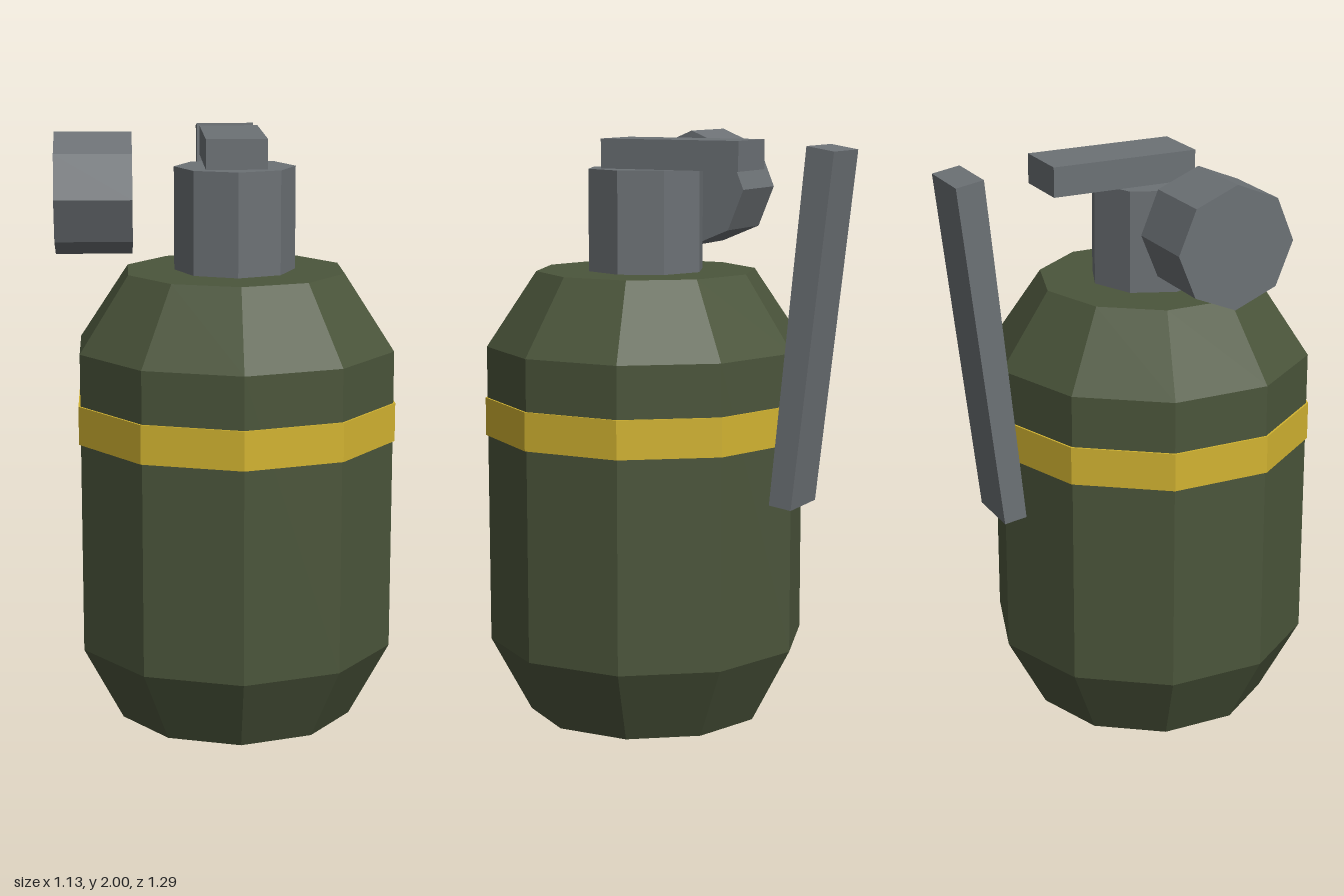
import * as THREE from 'three';

export function createModel() {
  const material = (name, color) => {
    const m = new THREE.MeshStandardMaterial({ color, flatShading: true });
    m.name = name;
    return m;
  };
  const olive = material('olive', 0x4b553b);
  const yellow = material('yellow', 0xd2b331);
  const metal = material('metal', 0x6c7175);

  const group = new THREE.Group();
  const cx = 0.033, cz = 0.092; // axis of the body

  const add = (name, geometry, mat, x, y, z) => {
    const mesh = new THREE.Mesh(geometry, mat);
    mesh.name = name;
    mesh.position.set(x, y, z);
    group.add(mesh);
    return mesh;
  };

  // Ten-sided body, closed at both ends by profile points on the axis
  const profile = [[0, 0], [0.41, 0], [0.548, 0.26], [0.548, 1.285], [0.377, 1.54], [0, 1.54]]
    .map(([r, y]) => new THREE.Vector2(r, y));
  add('body', new THREE.LatheGeometry(profile, 10), olive, cx, 0, cz);

  // Painted band around the body
  add('band', new THREE.CylinderGeometry(0.555, 0.555, 0.13, 10), yellow, cx, 1.045, cz);

  // Fuse neck
  add('neck', new THREE.CylinderGeometry(0.203, 0.203, 0.345, 8), metal, cx, 1.7125, cz);

  // Flat arm on top of the neck
  add('leverArm', new THREE.BoxGeometry(0.203, 0.1, 0.513), metal, cx, 1.935, -0.046);

  // Slanted, slightly tapered lever behind the body: side outline (-z, y) extruded along x
  const outline = new THREE.Shape([[0.422, 0.785], [0.501, 0.774], [0.64, 1.957], [0.544, 1.973]]
    .map(([z, y]) => new THREE.Vector2(z, y)));
  const leverGeometry = new THREE.ExtrudeGeometry(outline, { depth: 0.203, bevelEnabled: false });
  leverGeometry.translate(0, 0, -0.1015);
  add('lever', leverGeometry, metal, cx, 0, 0).rotation.y = Math.PI / 2;

  // Eight-sided pin head at the model's right
  const pin = new THREE.CylinderGeometry(0.203, 0.203, 0.256, 8);
  add('pinHead', pin, metal, -0.437, 1.798, cz).rotation.z = Math.PI / 2;

  return group;
}
